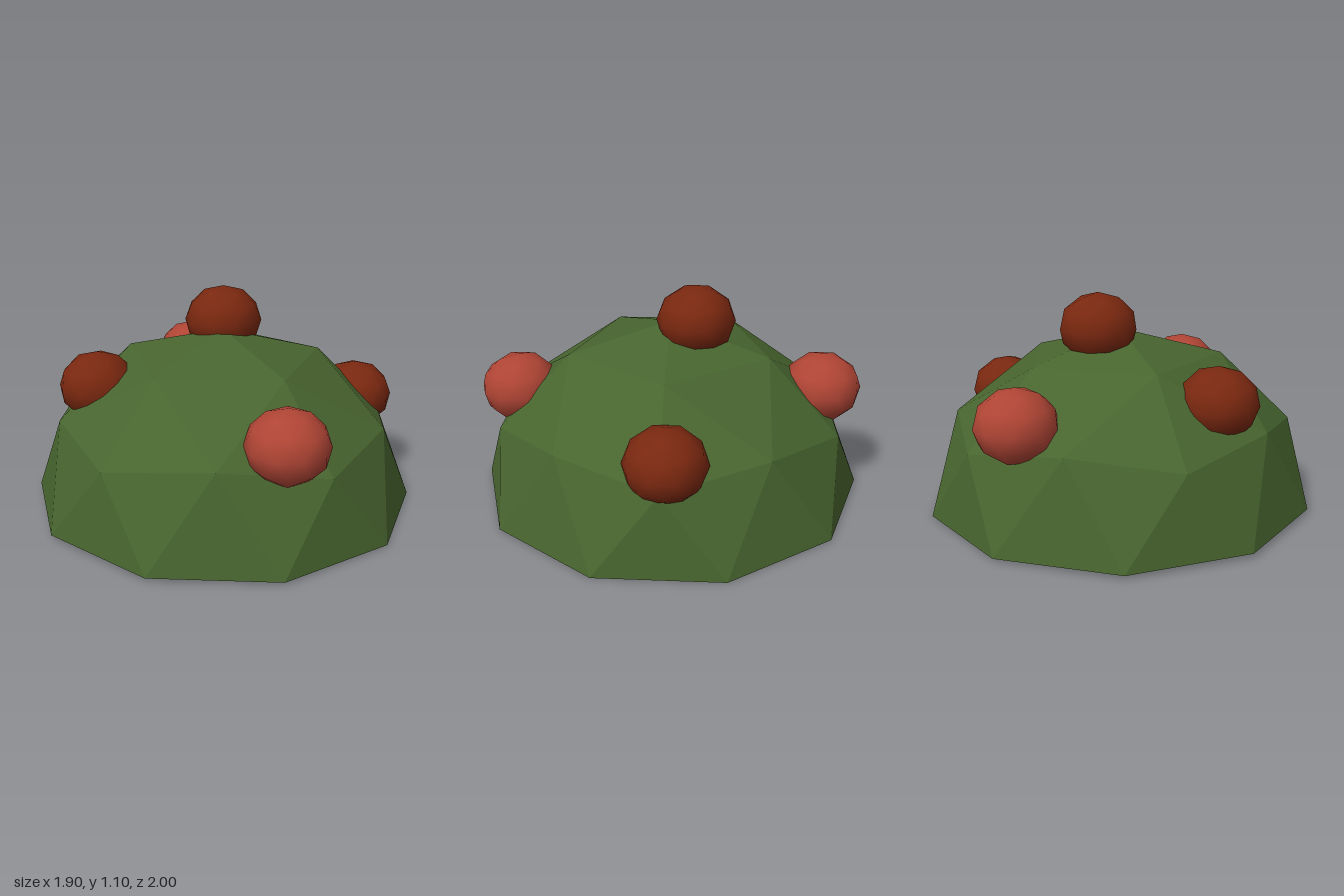
import * as THREE from 'three';

// Once-subdivided icosahedron with a vertex at the top and a ring vertex toward +x
function poleUpIcosphere() {
  const geo = new THREE.IcosahedronGeometry(1, 1);
  geo.rotateX(-Math.atan((1 + Math.sqrt(5)) / 2));
  geo.rotateY(Math.PI / 2);
  return geo;
}

// Keep only the triangles above the equator
function upperHalf(geo) {
  const p = geo.attributes.position;
  const kept = [];
  for (let i = 0; i < p.count; i += 3) {
    if (p.getY(i) + p.getY(i + 1) + p.getY(i + 2) < 0.1) continue;
    for (let k = i; k < i + 3; k++) kept.push(p.getX(k), p.getY(k), p.getZ(k));
  }
  const half = new THREE.BufferGeometry();
  half.setAttribute('position', new THREE.Float32BufferAttribute(kept, 3));
  return half;
}

// Flatten to the dome's height and lean it slightly toward +x
function settle(geo) {
  const p = geo.attributes.position;
  for (let i = 0; i < p.count; i++) p.setY(i, p.getY(i) * 0.895 + 0.012 - 0.0125 * p.getX(i));
  geo.computeVertexNormals();
  return geo;
}

export function createModel() {
  const model = new THREE.Group();
  model.name = 'berryBush';

  const leafGreen = new THREE.MeshStandardMaterial({ color: 0x48652f });
  leafGreen.name = 'leafGreen';
  leafGreen.flatShading = true;
  const brightRed = new THREE.MeshStandardMaterial({ color: 0xb04535 });
  brightRed.name = 'brightRed';
  const darkRed = new THREE.MeshStandardMaterial({ color: 0x7a2810 });
  darkRed.name = 'darkRed';

  // Faceted dome of foliage
  const dome = new THREE.Mesh(settle(upperHalf(poleUpIcosphere())), leafGreen);
  dome.name = 'foliageDome';
  model.add(dome);

  // Ten-sided underside
  const disc = new THREE.CircleGeometry(1, 10, Math.PI / 10).rotateX(Math.PI / 2);
  const base = new THREE.Mesh(settle(disc), leafGreen);
  base.name = 'underside';
  model.add(base);

  // Berries half sunk into the foliage
  const berryGeo = poleUpIcosphere().scale(0.2, 0.18, 0.2);
  const berries = [
    ['topBerry', darkRed, 0.04, 0.925, -0.13],
    ['rightBerry', darkRed, -0.635, 0.63, -0.1],
    ['leftBerry', darkRed, 0.76, 0.485, -0.02],
    ['frontBerry', brightRed, 0.08, 0.56, 0.775],
    ['backBerry', brightRed, 0.03, 0.575, -0.78],
  ];
  for (const [name, material, x, y, z] of berries) {
    const berry = new THREE.Mesh(berryGeo, material);
    berry.name = name;
    berry.position.set(x, y, z);
    model.add(berry);
  }
  return model;
}
